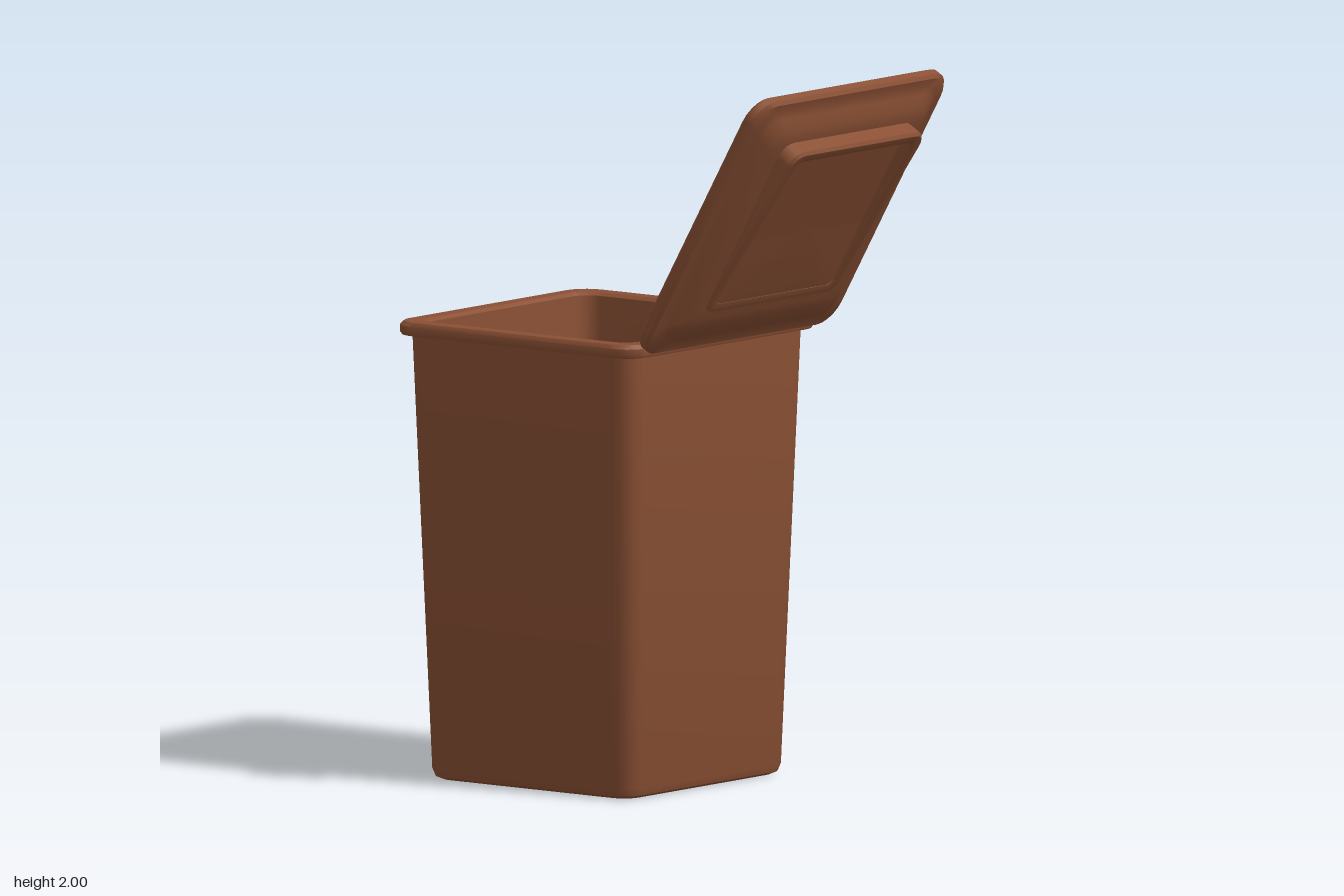
import * as THREE from 'three';
import { toCreasedNormals, mergeVertices } from 'three/addons/utils/BufferGeometryUtils.js';

const brown = new THREE.MeshStandardMaterial({ color: 0x8a5034 });
const olive = new THREE.MeshStandardMaterial({ color: 0x80692a });

// Points of a rounded rectangle, half sizes hx and hz, corner radius r
function ring(hx, hz, r, steps = 5) {
  const pts = [];
  for (let q = 0; q < 4; q++) {
    const sx = q === 0 || q === 3 ? 1 : -1;
    const sz = q < 2 ? 1 : -1;
    for (let i = 0; i <= steps; i++) {
      const a = (q + i / steps) * Math.PI / 2;
      pts.push([sx * (hx - r) + r * Math.cos(a), sz * (hz - r) + r * Math.sin(a)]);
    }
  }
  return pts;
}

// Skin a list of rings [hx, hz, r, y]; an optional rule (x, z, y) changes the height
function loft(rows, height = (x, z, y) => y, crease = 0.7) {
  const rings = rows.map(([hx, hz, r, y]) =>
    ring(hx, hz, r).map(([x, z]) => new THREE.Vector3(x, height(x, z, y), z)));
  const out = [];
  const tri = (a, b, c) => {
    if (a.distanceTo(b) < 1e-6 || b.distanceTo(c) < 1e-6 || a.distanceTo(c) < 1e-6) return;
    for (const p of [a, b, c]) out.push(p.x, p.y, p.z);
  };
  for (let i = 0; i + 1 < rings.length; i++) {
    const lo = rings[i], hi = rings[i + 1], n = lo.length;
    for (let j = 0; j < n; j++) {
      const k = (j + 1) % n;
      tri(lo[j], hi[j], lo[k]);
      tri(lo[k], hi[j], hi[k]);
    }
  }
  const geo = new THREE.BufferGeometry();
  geo.setAttribute('position', new THREE.Float32BufferAttribute(out, 3));
  return toCreasedNormals(mergeVertices(geo), crease);
}

function part(name, geo, material) {
  const mesh = new THREE.Mesh(geo, material);
  mesh.name = name;
  return mesh;
}

export function createModel() {
  const model = new THREE.Group();
  model.name = 'wasteBin';

  // Tapered body with an overhanging lip and a hollow inside
  const bin = new THREE.Group();
  bin.name = 'bin';
  bin.position.x = -0.237;
  bin.add(part('body', loft([
    [0, 0, 0, 0],
    [0.335, 0.335, 0.05, 0],
    [0.351, 0.351, 0.055, 0.008],
    [0.359, 0.359, 0.06, 0.03],
    [0.397, 0.4, 0.06, 1.255],
    [0.408, 0.411, 0.065, 1.255],
    [0.41, 0.413, 0.065, 1.238],
    [0.42, 0.424, 0.07, 1.238],
    [0.4235, 0.4275, 0.07, 1.245],
    [0.4235, 0.4275, 0.07, 1.264],
    [0.415, 0.419, 0.068, 1.275],
    [0.374, 0.376, 0.058, 1.275],
    [0.365, 0.366, 0.055, 1.266],
    [0.36, 0.362, 0.055, 1.1],
    [0.33, 0.33, 0.05, 0.03],
    [0, 0, 0, 0.03],
  ]), brown));

  // Uneven heap of contents
  const heap = (x, z, y) => y
    + 0.018 * Math.sin(7 * x + 1) * Math.cos(8 * z + 0.6)
    + 0.01 * Math.sin(13 * x - 9 * z)
    - 0.035 * Math.exp(-((x - 0.1) ** 2 + (z + 0.03) ** 2) * 70);
  const heapRows = [];
  for (let i = 0; i <= 12; i++) {
    const s = 1 - i / 12;
    heapRows.push([0.362 * s, 0.364 * s, 0.055 * s, 1.125 + 0.035 * (1 - s * s)]);
  }
  bin.add(part('contents', loft(heapRows, heap), olive));
  model.add(bin);

  // Open lid, modelled lying flat with its outside up, then swung on the hinge
  const lid = new THREE.Group();
  lid.name = 'lid';
  lid.add(part('lidShell', loft([
    [0, 0, 0, 0.058],
    [0.27, 0.28, 0.05, 0.058],
    [0.325, 0.332, 0.055, 0.05],
    [0.358, 0.364, 0.055, 0.032],
    [0.372, 0.378, 0.055, 0.008],
    [0.382, 0.388, 0.06, 0],
    [0.416, 0.419, 0.07, 0],
    [0.4245, 0.4275, 0.07, 0.01],
    [0.4245, 0.4275, 0.07, 0.03],
    [0.416, 0.419, 0.07, 0.04],
    [0.388, 0.392, 0.06, 0.042],
    [0.372, 0.376, 0.06, 0.05],
    [0.345, 0.349, 0.055, 0.067],
    [0.315, 0.32, 0.05, 0.076],
    [0.285, 0.29, 0.05, 0.079],
    [0, 0, 0, 0.079],
  ]), brown));

  // Wedge-shaped raised frame: low at the hinge, high at the free edge
  const wedge = (x, z, y) => 0.07 + y * (0.008 + 0.052 * THREE.MathUtils.clamp((x + 0.29) / 0.58, 0, 1));
  const frame = part('handleFrame', loft([
    [0.29, 0.294, 0.045, 0],
    [0.29, 0.294, 0.045, 0.85],
    [0.282, 0.286, 0.04, 1],
    [0.262, 0.266, 0.03, 1],
    [0.254, 0.258, 0.02, 0.88],
    [0.25, 0.254, 0.02, 0.3],
    [0, 0, 0, 0.3],
  ], wedge), brown);
  frame.position.x = 0.015;
  lid.add(frame);

  const along = new THREE.Vector3(0.5, Math.sqrt(0.75), 0);
  const outward = new THREE.Vector3(Math.sqrt(0.75), -0.5, 0);
  lid.setRotationFromMatrix(new THREE.Matrix4().makeBasis(along, outward, new THREE.Vector3(0, 0, -1)));
  lid.position.set(0.395, 1.635, 0);
  model.add(lid);

  return model;
}
